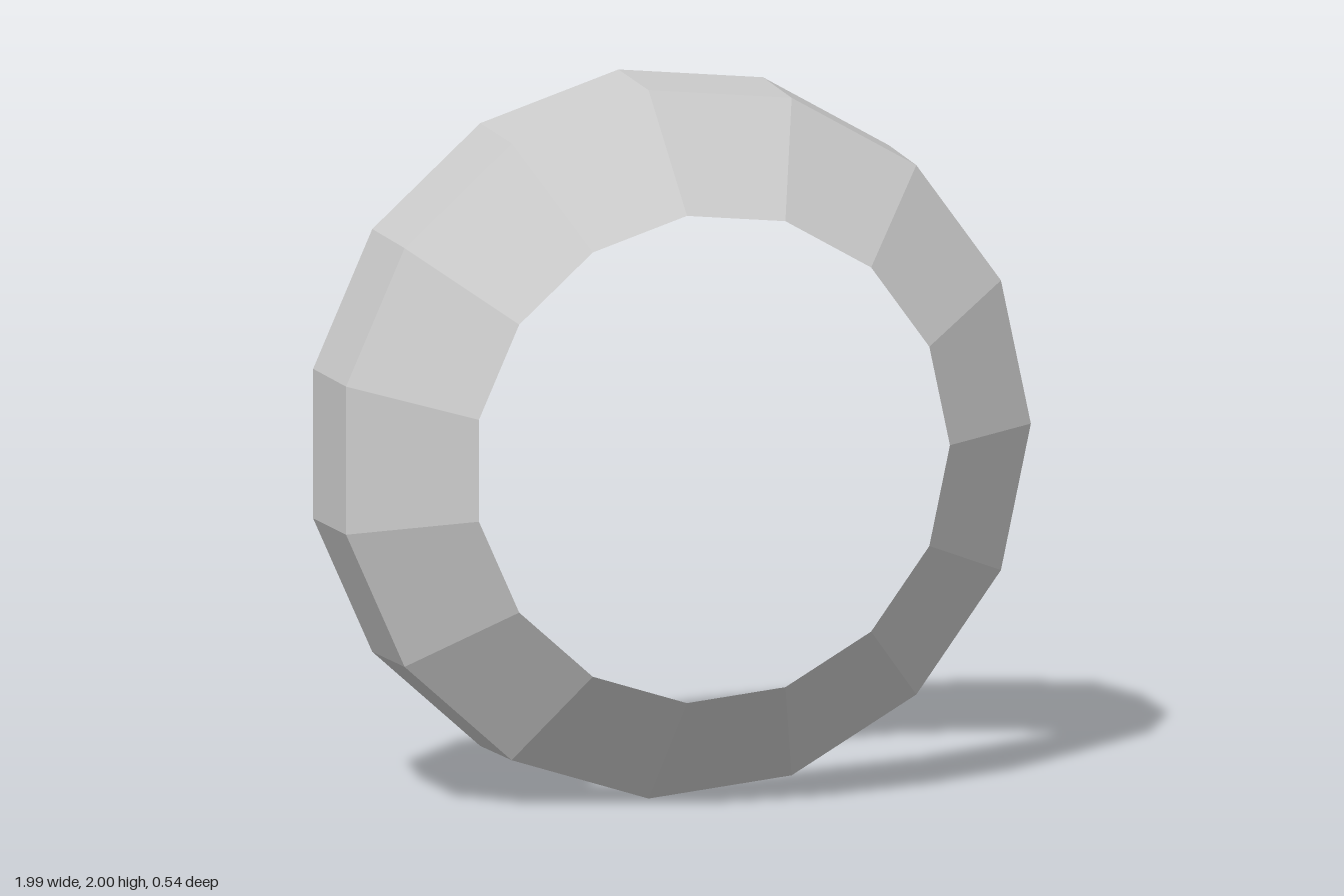
import * as THREE from 'three';

const SIDES = 15;

// Open faceted band around the z axis, between two [radius, z] rings
function band(name, back, front, material) {
  const profile = [back, front].map(([r, z]) => new THREE.Vector2(r, z));
  const geometry = new THREE.LatheGeometry(profile, SIDES, Math.PI / 2);
  geometry.rotateX(Math.PI / 2); // lathe axis from y to z
  const mesh = new THREE.Mesh(geometry, material);
  mesh.name = name;
  return mesh;
}

export function createModel() {
  const model = new THREE.Group();
  model.name = 'facetedRing';
  const material = new THREE.MeshStandardMaterial({
    color: 0xcccccc,
    flatShading: true,
    side: THREE.DoubleSide,
  });

  // [radius, z] of the three rings
  const backRing = [1.0055, -0.268];
  const middleRing = [0.996, 0.012];
  const frontRing = [0.685, 0.268];

  // Nearly straight outer wall, then the sloping front
  model.add(band('outerWall', backRing, middleRing, material));
  model.add(band('frontBevel', middleRing, frontRing, material));

  // An odd number of sides leaves the ring slightly off centre in x
  model.children.forEach((mesh) => mesh.position.set(-0.011, 1, 0));
  return model;
}
